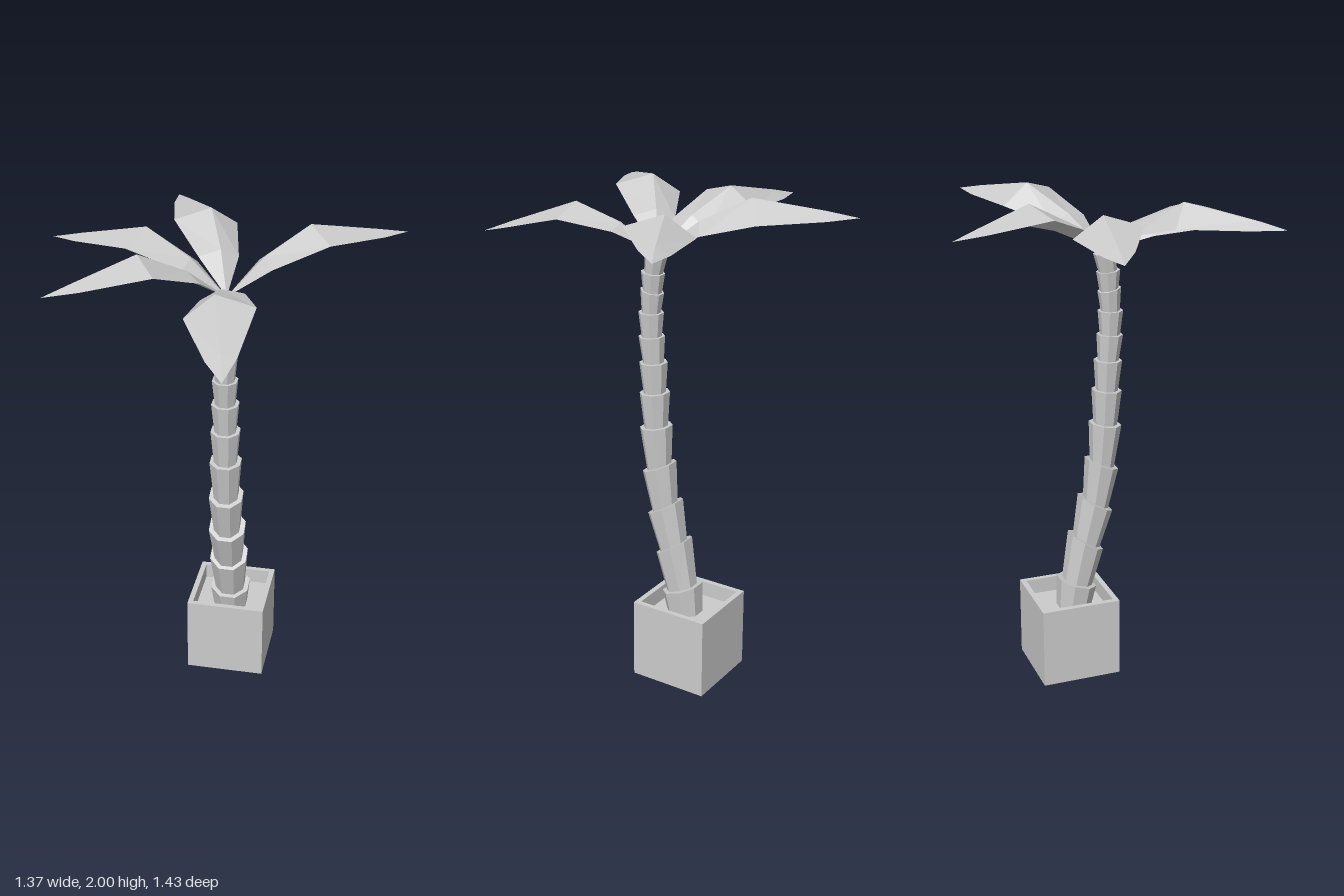
import * as THREE from 'three';

const CX = 0.045; // trunk and pot share this x
const mat = new THREE.MeshStandardMaterial({ color: 0xcccccc, flatShading: true });
const leafMat = new THREE.MeshStandardMaterial({ color: 0xcccccc, flatShading: true, side: THREE.DoubleSide });

function addMesh(parent, name, geometry, material = mat) {
  const mesh = new THREE.Mesh(geometry, material);
  mesh.name = name;
  parent.add(mesh);
  return mesh;
}

function flat(geometry) {
  const g = geometry.index ? geometry.toNonIndexed() : geometry;
  g.computeVertexNormals();
  return g;
}

// Square planter: hollow walls, base and soil
function createPot() {
  const pot = new THREE.Group();
  pot.name = 'pot';
  const size = 0.33, height = 0.335, wall = 0.022;
  const square = (path, h) => path.moveTo(-h, -h).lineTo(h, -h).lineTo(h, h).lineTo(-h, h).closePath();
  const shape = square(new THREE.Shape(), size / 2);
  shape.holes.push(square(new THREE.Path(), size / 2 - wall));
  const walls = new THREE.ExtrudeGeometry(shape, { depth: height, bevelEnabled: false });
  addMesh(pot, 'potWalls', walls.rotateX(-Math.PI / 2));
  const inner = size - 2 * wall;
  addMesh(pot, 'soil', new THREE.BoxGeometry(inner, 0.27, inner).translate(0, 0.135, 0));
  pot.position.set(CX, 0, -0.2);
  return pot;
}

// Curved trunk of flared eight-sided sleeves, each sitting in the one below
function createTrunk() {
  const trunk = new THREE.Group();
  trunk.name = 'trunk';
  // ring centre y, centre z, half width, forward tilt in degrees
  const rings = [
    [0.22, -0.19, 0.08, 12], [0.375, -0.167, 0.08, 18], [0.555, -0.125, 0.077, 31],
    [0.72, -0.082, 0.074, 29], [0.89, -0.053, 0.068, 22], [1.06, -0.037, 0.062, 8],
    [1.203, -0.03, 0.057, 5], [1.327, -0.024, 0.053, 3], [1.433, -0.016, 0.049, 3],
    [1.53, -0.013, 0.047, 0], [1.616, -0.018, 0.044, -12], [1.69, -0.022, 0.044, -6],
    [1.765, -0.037, 0.042, -10],
  ];
  for (let i = 1; i < rings.length; i++) {
    const r = rings[i][2] * 1.08;
    const g = new THREE.CylinderGeometry(r, r * 0.77, 1, 8, 1, false, Math.PI / 8);
    const p = g.attributes.position;
    for (let v = 0; v < p.count; v++) {
      const top = p.getY(v) > 0;
      const [y, z, , deg] = rings[top ? i : i - 1];
      const tilt = THREE.MathUtils.degToRad(deg);
      p.setXYZ(v, CX + p.getX(v), y - (top ? 0 : 0.015) - p.getZ(v) * Math.sin(tilt), z + p.getZ(v) * Math.cos(tilt));
    }
    addMesh(trunk, 'trunkSegment' + i, flat(g));
  }
  return trunk;
}

// Folded leaf along +x: a raised, slightly sideways-bowed midrib with two drooping halves
function leafGeometry(side, pitch) {
  // each row: right edge, midrib, left edge as [along, height, sideways]
  const rows = [
    [[0, 0, 0], [0, 0, 0], [0, 0, 0]],
    [[0.17, 0.09, 0.095], [0.16, 0.13, 0.02], [0.155, 0.11, -0.07]],
    [[0.38, 0.15, 0.147], [0.357, 0.23, 0.035], [0.37, 0.19, -0.113]],
    [[0.635, 0.155, 0.06], [0.63, 0.185, 0.008], [0.63, 0.17, -0.05]],
    [[0.756, 0.16, 0], [0.756, 0.16, 0], [0.756, 0.16, 0]],
  ];
  const pos = [];
  const tri = (...pts) => {
    if (side < 0) pts.reverse();
    for (const [s, h, w] of pts) pos.push(s, h + pitch * s, w * side);
  };
  for (let i = 0; i < rows.length - 1; i++) {
    for (let j = 0; j < 2; j++) {
      const a = rows[i][j], b = rows[i + 1][j], c = rows[i + 1][j + 1], d = rows[i][j + 1];
      if (i < rows.length - 2) tri(a, b, c);
      else tri(a, b, d);
      if (i > 0 && i < rows.length - 2) tri(a, c, d);
    }
  }
  const g = new THREE.BufferGeometry();
  g.setAttribute('position', new THREE.Float32BufferAttribute(pos, 3));
  return flat(g);
}

function createCrown() {
  const crown = new THREE.Group();
  crown.name = 'crown';
  // heading in degrees about y, bow side, pitch
  const leaves = [[32, -1, 0], [116, 1, -0.008], [165.4, 1, -0.055], [-138.8, 1, -0.008], [-80.5, 1, -0.2]];
  leaves.forEach(([heading, side, pitch], i) => {
    const leaf = addMesh(crown, 'leaf' + (i + 1), leafGeometry(side, pitch), leafMat);
    leaf.rotation.y = THREE.MathUtils.degToRad(heading);
  });
  crown.position.set(CX, 1.77, -0.04);
  return crown;
}

export function createModel() {
  const model = new THREE.Group();
  model.name = 'pottedPalm';
  model.add(createPot(), createTrunk(), createCrown());
  return model;
}
